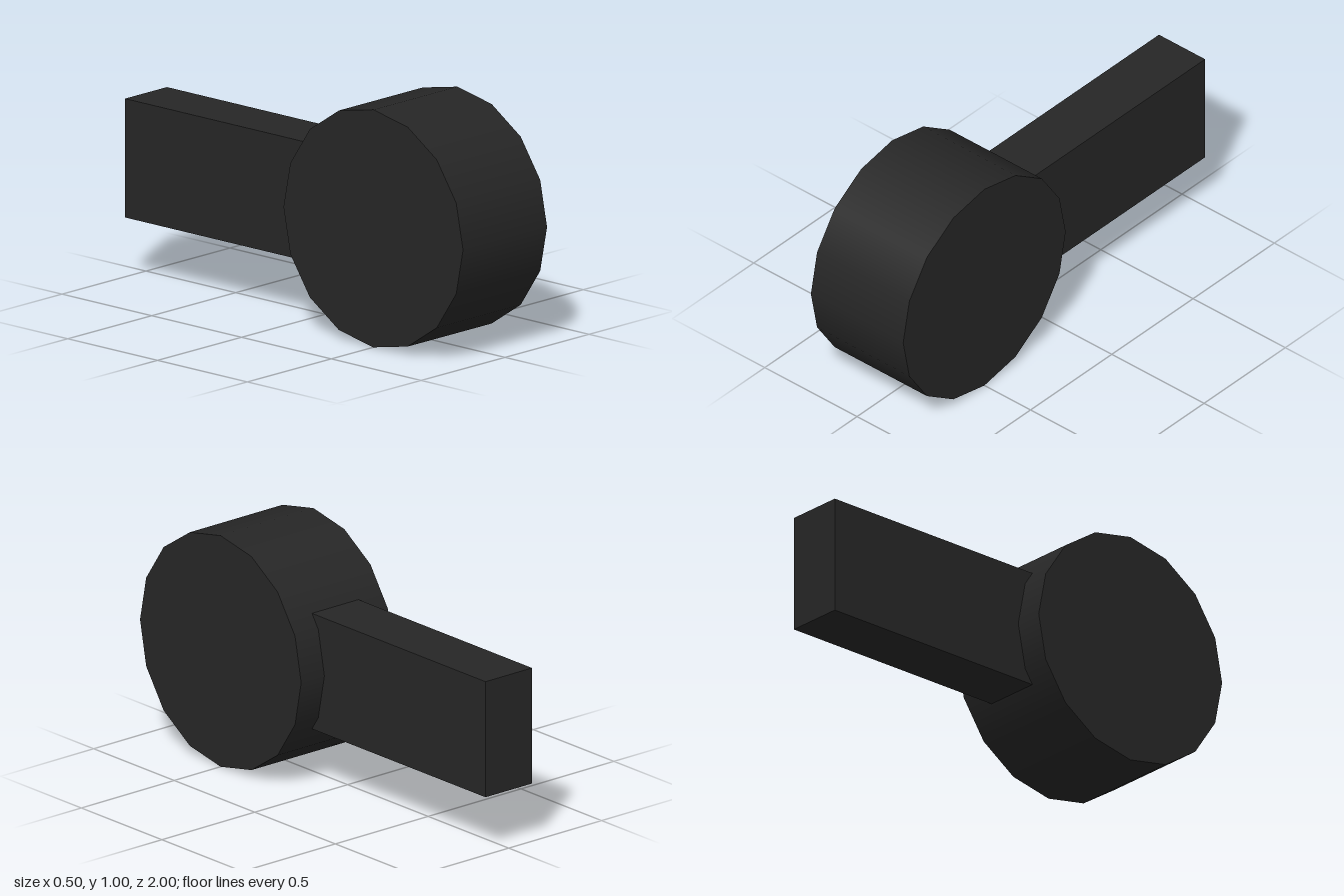
import * as THREE from 'three';

export function createModel() {
  const group = new THREE.Group();
  const darkGrey = new THREE.MeshStandardMaterial({ color: 0x262626 });
  darkGrey.name = 'darkGrey';

  // Sixteen-sided wheel with its axle along x
  const wheel = new THREE.Mesh(
    new THREE.CylinderGeometry(0.5, 0.5, 0.5, 16).rotateZ(Math.PI / 2),
    darkGrey
  );
  wheel.name = 'wheel';
  wheel.position.set(0, 0.5, 0.5);

  // Flat bar running back from the wheel, its end sunk into the rim
  const barFront = 0.1, barBack = -1;
  const bar = new THREE.Mesh(new THREE.BoxGeometry(0.25, 0.5, barFront - barBack), darkGrey);
  bar.name = 'bar';
  bar.position.set(0, 0.5, (barFront + barBack) / 2);

  group.add(wheel, bar);
  return group;
}
